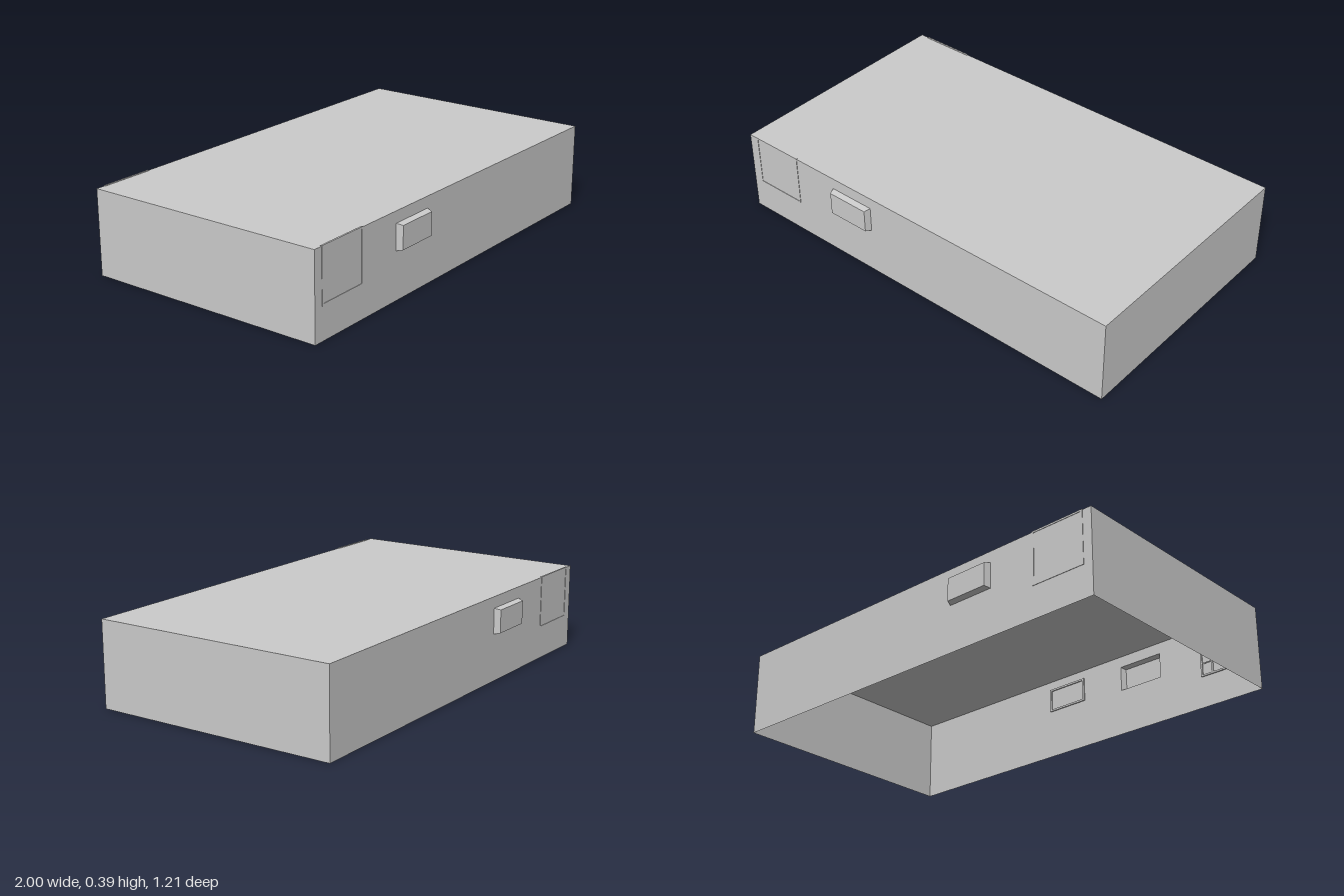
import * as THREE from 'three';

const W = 1, H = 0.39, D = 0.575; // half width, height, half depth
const mat = new THREE.MeshStandardMaterial({ color: 0xcccccc, side: THREE.DoubleSide, flatShading: true });

function add(parent, name, geometry, x = 0, y = 0, z = 0) {
  const mesh = new THREE.Mesh(geometry, mat);
  mesh.name = name;
  mesh.position.set(x, y, z);
  parent.add(mesh);
  return mesh;
}

// Rectangular frame of thin bars in the XY plane, centred on its group
function frame(name, w, h, t, depth) {
  const g = new THREE.Group();
  g.name = name;
  for (const s of [-1, 1]) {
    add(g, 'frameRail', new THREE.BoxGeometry(w, t, depth), 0, s * (h - t) / 2, 0);
    add(g, 'frameStile', new THREE.BoxGeometry(t, h - 2 * t, depth), s * (w - t) / 2, 0, 0);
  }
  return g;
}

// Shallow tapered bay, open towards the inside of the building
function bayGeometry(w, h, d, inset) {
  const geo = new THREE.BoxGeometry(w, h, d).translate(0, 0, d / 2);
  const p = geo.attributes.position;
  for (let i = 0; i < p.count; i++) {
    if (p.getZ(i) > d / 2) {
      p.setX(i, p.getX(i) - Math.sign(p.getX(i)) * inset);
      p.setY(i, p.getY(i) - Math.sign(p.getY(i)) * inset * 0.6);
    }
  }
  geo.setIndex(Array.from(geo.index.array).slice(0, 30)); // drop the rear face
  geo.computeVertexNormals();
  return geo;
}

// Long wall with bay, door and window; s = 1 front, s = -1 back
function longSide(s) {
  const side = new THREE.Group();
  side.name = s > 0 ? 'frontSide' : 'backSide';
  side.rotation.y = s > 0 ? 0 : Math.PI;

  const bay = { x: -0.363 * s, y: 0.278, w: 0.224, h: 0.118 };
  const shape = new THREE.Shape([[-W, 0], [W, 0], [W, H], [-W, H]].map(([x, y]) => new THREE.Vector2(x, y)));
  const corners = [[-1, -1], [-1, 1], [1, 1], [1, -1]];
  shape.holes.push(new THREE.Path(corners.map(([i, j]) =>
    new THREE.Vector2(bay.x + i * bay.w / 2, bay.y + j * bay.h / 2))));
  add(side, 'longWall', new THREE.ShapeGeometry(shape), 0, 0, D);
  add(side, 'bay', bayGeometry(bay.w, bay.h, 0.028, 0.01), bay.x, bay.y, D);

  // Door frame shows on both faces, its lattice only inside
  const door = frame('doorFrame', 0.258, 0.245, 0.008, 0.008);
  door.position.set(-0.828 * s, 0.27, D - 0.002);
  for (const i of [-1, 1]) add(door, 'doorStile', new THREE.BoxGeometry(0.008, 0.229, 0.004), i * 0.068, 0, -0.002);
  for (const i of [-1, 0, 1]) add(door, 'doorRail', new THREE.BoxGeometry(0.242, 0.005, 0.003), 0, i * 0.06, -0.002);
  side.add(door);

  // Window frame on the inner face of the wall
  const win = frame('windowFrame', 0.21, 0.115, 0.009, 0.006);
  win.position.set(0.073 * s, 0.29, D - 0.004);
  side.add(win);
  return side;
}

export function createModel() {
  const model = new THREE.Group();
  model.name = 'building';

  // Shell, open underneath
  add(model, 'roof', new THREE.PlaneGeometry(2 * W, 2 * D), 0, H, 0).rotation.x = -Math.PI / 2;
  for (const s of [-1, 1]) {
    add(model, 'endWall', new THREE.PlaneGeometry(2 * D, H), s * W, H / 2, 0).rotation.y = s * Math.PI / 2;
    model.add(longSide(s));
  }

  // Small window on the inner face of the right end wall
  const endWindow = frame('endWindowFrame', 0.1, 0.105, 0.009, 0.006);
  endWindow.rotation.y = -Math.PI / 2;
  endWindow.position.set(-W + 0.0035, 0.313, 0);
  model.add(endWindow);
  return model;
}
